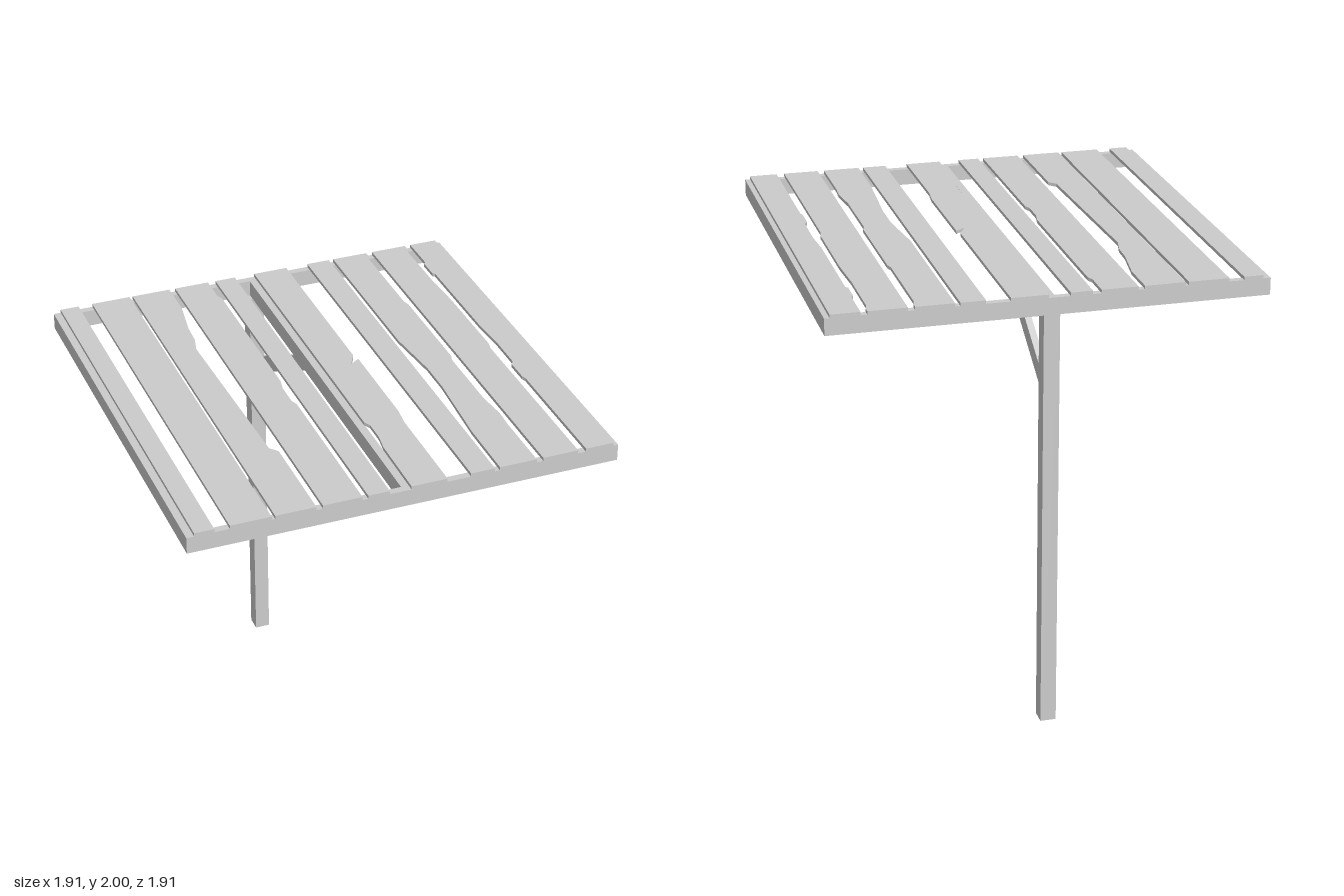
import * as THREE from 'three';

const material = new THREE.MeshStandardMaterial({ color: 0xcccccc, flatShading: true });
const R = 0.953; // half size of the roof
const FRAME_BOTTOM = 1.91, FRAME_TOP = 1.985, TOP = 2;

// Box given by its limits on each axis
function beam(name, x0, x1, y0, y1, z0, z1) {
  const mesh = new THREE.Mesh(new THREE.BoxGeometry(x1 - x0, y1 - y0, z1 - z0), material);
  mesh.position.set((x0 + x1) / 2, (y0 + y1) / 2, (z0 + z1) / 2);
  mesh.name = name;
  return mesh;
}

// Plank outlined by its left and right edges, each a list of [x, z] from back to front
function plank(left, right) {
  const outline = [...left, ...right.slice().reverse()].map(([x, z]) => new THREE.Vector2(x, -z));
  const geometry = new THREE.ExtrudeGeometry(new THREE.Shape(outline), { depth: TOP - FRAME_TOP, bevelEnabled: false });
  geometry.rotateX(-Math.PI / 2);
  const mesh = new THREE.Mesh(geometry, material);
  mesh.position.y = FRAME_TOP;
  mesh.name = 'roofPlank';
  return mesh;
}

// Straight or chipped edge: start and end x, with optional worn points between
const edge = (x0, chips = [], x1 = x0) => [[x0, -R], ...chips, [x1, R]];

const planks = [
  [edge(-0.92), edge(-0.835)],
  [edge(-0.77), edge(-0.592)],
  [edge(-0.577), edge(-0.4, [[-0.4, -0.77], [-0.43, -0.58], [-0.435, -0.48], [-0.455, -0.4], [-0.43, 0.475], [-0.4, 0.51]])],
  [edge(-0.372), edge(-0.212, [[-0.212, -0.82], [-0.2, -0.79], [-0.2, -0.01], [-0.212, 0.05], [-0.212, 0.16], [-0.2, 0.19]], -0.2)],
  [edge(-0.175), edge(-0.08)],
  [edge(0.015, [[0.015, 0.43], [0.03, 0.46], [0.03, 0.56], [0.018, 0.64]]),
    edge(0.175, [[0.175, -0.1], [0.14, -0.035], [0.185, -0.065], [0.185, 0.4], [0.175, 0.49]])],
  [edge(0.28), edge(0.388)],
  [edge(0.41, [[0.41, -0.15], [0.438, 0.12], [0.438, 0.28], [0.412, 0.66]]),
    edge(0.577, [[0.577, -0.92], [0.568, -0.89], [0.568, -0.46], [0.577, -0.43], [0.577, 0.06], [0.567, 0.09],
      [0.567, 0.43], [0.582, 0.57], [0.577, 0.66]])],
  [edge(0.607), edge(0.775, [[0.775, -0.92], [0.766, -0.89], [0.766, -0.6], [0.776, -0.4], [0.776, 0.02], [0.767, 0.06]], 0.767)],
  [edge(0.803, [[0.803, -0.77], [0.793, -0.76], [0.793, -0.66], [0.803, -0.65], [0.803, -0.15], [0.813, 0.02],
    [0.811, 0.2], [0.797, 0.22], [0.797, 0.33], [0.804, 0.35]]), edge(0.93)],
];

export function createModel() {
  const group = new THREE.Group();

  // Roof frame and its middle joist
  const w = 0.033;
  const rail = (name, x0, x1, z0, z1) => group.add(beam(name, x0, x1, FRAME_BOTTOM, FRAME_TOP, z0, z1));
  rail('frontRail', -R, R, R - w, R);
  rail('backRail', -R, R, -R, -R + w);
  rail('rightRail', -R, -R + w, -R + w, R - w);
  rail('leftRail', R - w, R, -R + w, R - w);
  rail('middleJoist', -0.018, 0.018, -R + w, R - w);

  // Weathered roof planks
  const roof = new THREE.Group();
  roof.name = 'roofPlanks';
  for (const [left, right] of planks) roof.add(plank(left, right));
  group.add(roof);

  // Post at the back edge
  group.add(beam('post', -0.035, 0.035, 0, FRAME_BOTTOM, -R, -0.88));

  // Diagonal brace, drawn in the z-y plane
  const braceShape = new THREE.Shape(
    [[0.195, 1.91], [0.335, 1.91], [0.88, 1.6], [0.88, 1.515]].map(([z, y]) => new THREE.Vector2(z, y)));
  const braceGeometry = new THREE.ExtrudeGeometry(braceShape, { depth: 0.03, bevelEnabled: false });
  braceGeometry.translate(0, 0, -0.015).rotateY(Math.PI / 2);
  const brace = new THREE.Mesh(braceGeometry, material);
  brace.name = 'brace';
  group.add(brace);

  return group;
}
